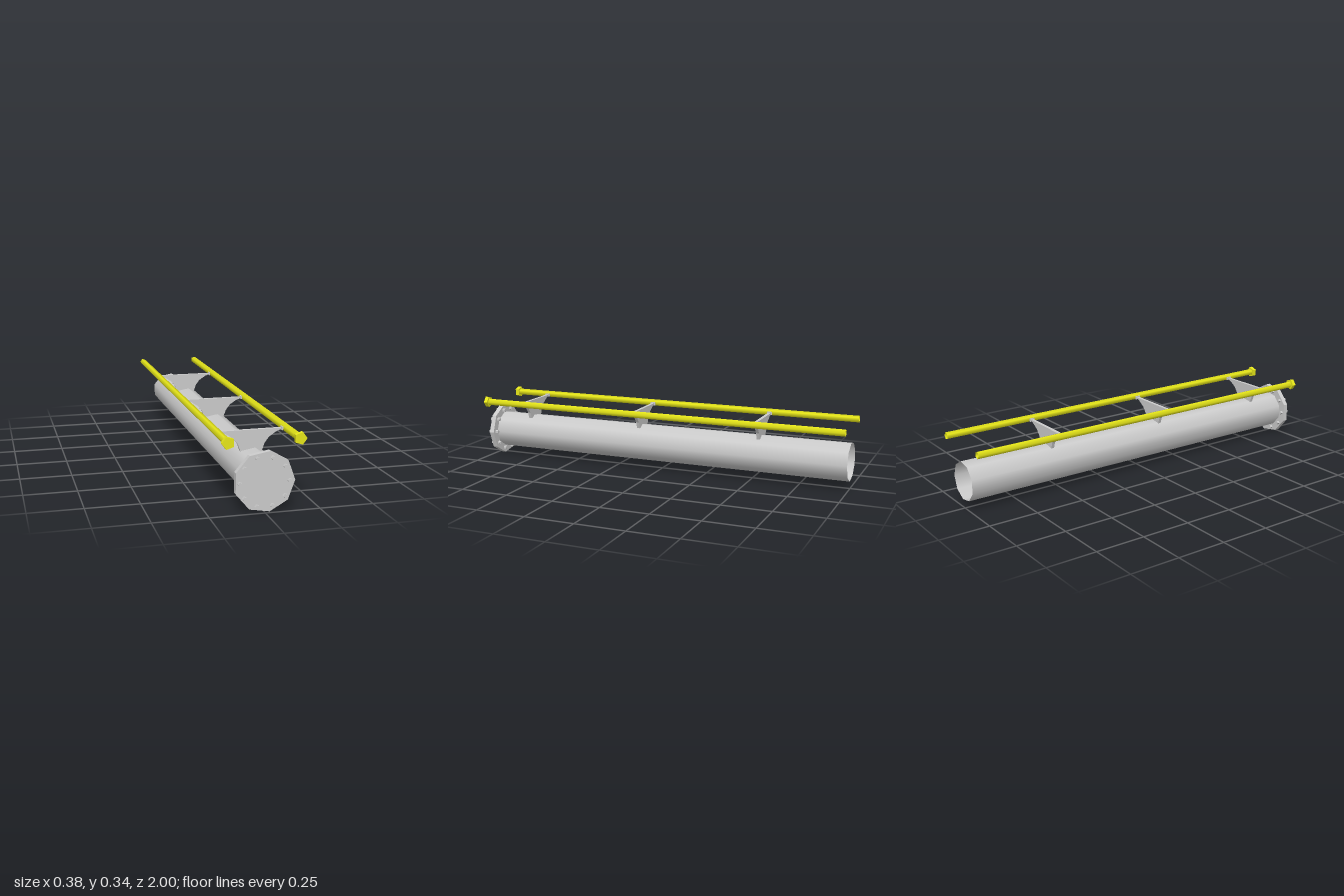
import * as THREE from 'three';

const grey = new THREE.MeshStandardMaterial({ color: 0xcccccc, side: THREE.DoubleSide });
const greyFlat = new THREE.MeshStandardMaterial({ color: 0xcccccc, flatShading: true });
const yellow = new THREE.MeshStandardMaterial({ color: 0xe6e619, side: THREE.DoubleSide });
const yellowFlat = new THREE.MeshStandardMaterial({ color: 0xe6e619, flatShading: true });

const AXIS_Y = 0.137;
const RAIL_X = 0.162;
const RAIL_Y = 0.317;

// Prism along z from z0 to z1, with its first corner towards +x (or -x if flipped)
function prism(name, radius, sides, z0, z1, x, y, material, { open = false, flip = false } = {}) {
  const geometry = new THREE.CylinderGeometry(
    radius, radius, z1 - z0, sides, 1, open, flip ? -Math.PI / 2 : Math.PI / 2);
  geometry.rotateX(Math.PI / 2);
  const mesh = new THREE.Mesh(geometry, material);
  mesh.name = name;
  mesh.position.set(x, y, (z0 + z1) / 2);
  return mesh;
}

// Flared web plate that carries both rails
function bracketGeometry() {
  const half = [[0.15, 0.317], [0.15, 0.312], [0.138, 0.31], [0.118, 0.303],
    [0.083, 0.28], [0.062, 0.252], [0.05, 0.218]];
  const left = half.map(([x, y]) => new THREE.Vector2(x, y));
  const right = half.map(([x, y]) => new THREE.Vector2(-x, y)).reverse();
  const geometry = new THREE.ExtrudeGeometry(new THREE.Shape([...left, ...right]),
    { depth: 0.016, bevelEnabled: false });
  return geometry.translate(0, 0, -0.008);
}

export function createModel() {
  const model = new THREE.Group();
  model.name = 'pipeWithRails';

  // Main pipe, open at the back
  model.add(prism('pipe', 0.0975, 9, -1, 0.965, 0, AXIS_Y, grey, { open: true }));

  // Blind end flange with its ring of bolts
  const flange = new THREE.Group();
  flange.name = 'endFlange';
  flange.add(prism('flangePlate', 0.138, 9, 0.96, 0.985, 0, AXIS_Y, greyFlat));
  for (let i = 0; i < 10; i++) {
    const a = (i / 10) * Math.PI * 2;
    flange.add(prism('bolt', 0.0095, 5, 0.945, 1,
      -0.001 + 0.113 * Math.cos(a), AXIS_Y + 0.113 * Math.sin(a), greyFlat, { flip: true }));
  }
  model.add(flange);

  // Side rails, hollow, with a wider cap at the front
  for (const side of [1, -1]) {
    const rail = new THREE.Group();
    rail.name = side > 0 ? 'leftRail' : 'rightRail';
    const flip = side < 0;
    rail.add(prism('railTube', 0.018, 5, -1, 0.965, side * RAIL_X, RAIL_Y, yellow, { open: true, flip }));
    rail.add(prism('railCap', 0.0293, 5, 0.96, 0.98, side * RAIL_X, RAIL_Y, yellowFlat, { flip }));
    model.add(rail);
  }

  // Three brackets, each with a clip at both rails
  const web = bracketGeometry();
  const clipGeometry = new THREE.BoxGeometry(0.012, 0.016, 0.026);
  for (const z of [0.773, 0.117, -0.54]) {
    const bracket = new THREE.Group();
    bracket.name = 'bracket';
    bracket.position.z = z;
    const plate = new THREE.Mesh(web, greyFlat);
    plate.name = 'bracketWeb';
    bracket.add(plate);
    for (const side of [1, -1]) {
      const clip = new THREE.Mesh(clipGeometry, greyFlat);
      clip.name = 'railClip';
      clip.position.set(side * 0.147, 0.314, 0);
      bracket.add(clip);
    }
    model.add(bracket);
  }
  return model;
}
